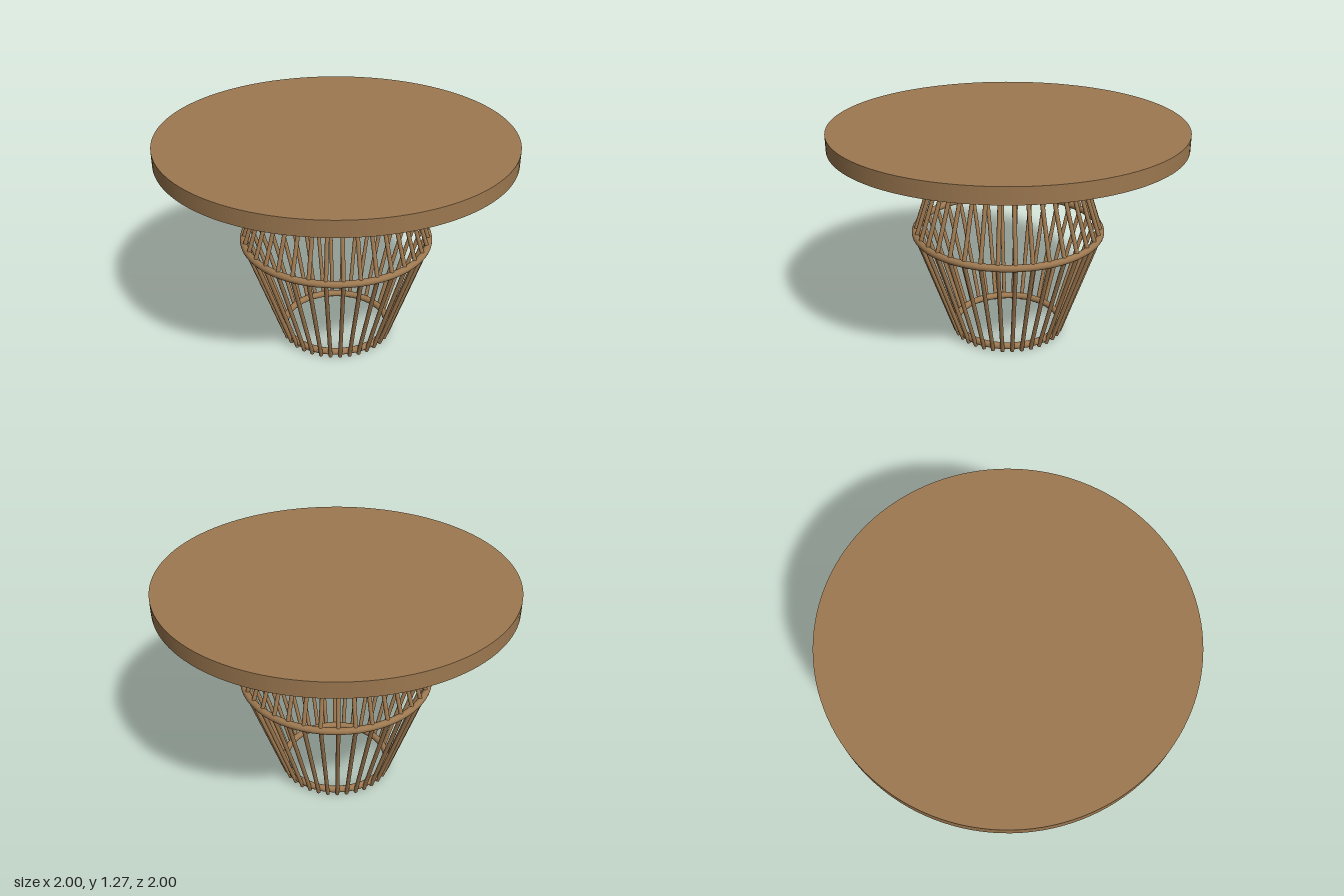
import * as THREE from 'three';

const ROD_COUNT = 36;
const ROD_RADIUS = 0.012;
const MID = { r: 0.54, y: 0.64 };
const FOOT = { r: 0.322, y: 0.004 };
const HEAD = { r: 0.362, y: 1.185 };

export function createModel() {
  const group = new THREE.Group();
  const wood = new THREE.MeshStandardMaterial({ color: 0x9c7850 });

  const add = (name, geometry, parent = group) => {
    const mesh = new THREE.Mesh(geometry, wood);
    mesh.name = name;
    parent.add(mesh);
    return mesh;
  };

  // Round table top
  add('tableTop', new THREE.CylinderGeometry(1, 1, 0.09, 128)).position.y = 1.225;

  // Horizontal hoops
  const addRing = (name, radius, y, tube) => {
    const ring = add(name, new THREE.TorusGeometry(radius, tube, 16, 96));
    ring.rotation.x = Math.PI / 2;
    ring.position.y = y;
  };
  addRing('topRing', 0.36, 1.18, 0.018);
  addRing('middleRing', MID.r, MID.y, 0.02);
  addRing('bottomRing', 0.313, 0.032, 0.02);

  // Straight rod between two points of the cage outline, at a given angle
  const up = new THREE.Vector3(0, 1, 0);
  const addRod = (name, from, to, angle, parent) => {
    const point = (p) => new THREE.Vector3(p.r * Math.sin(angle), p.y, p.r * Math.cos(angle));
    const a = point(from);
    const b = point(to);
    const rod = add(name, new THREE.CylinderGeometry(ROD_RADIUS, ROD_RADIUS, a.distanceTo(b), 12), parent);
    rod.position.addVectors(a, b).multiplyScalar(0.5);
    rod.quaternion.setFromUnitVectors(up, b.sub(a).normalize());
  };

  // Cage of rods, flaring out to the middle hoop and back in
  const cage = new THREE.Group();
  cage.name = 'rodCage';
  group.add(cage);
  for (let i = 0; i < ROD_COUNT; i++) {
    const angle = (i / ROD_COUNT) * Math.PI * 2;
    addRod('lowerRod', FOOT, MID, angle, cage);
    addRod('upperRod', MID, HEAD, angle, cage);
  }

  return group;
}
